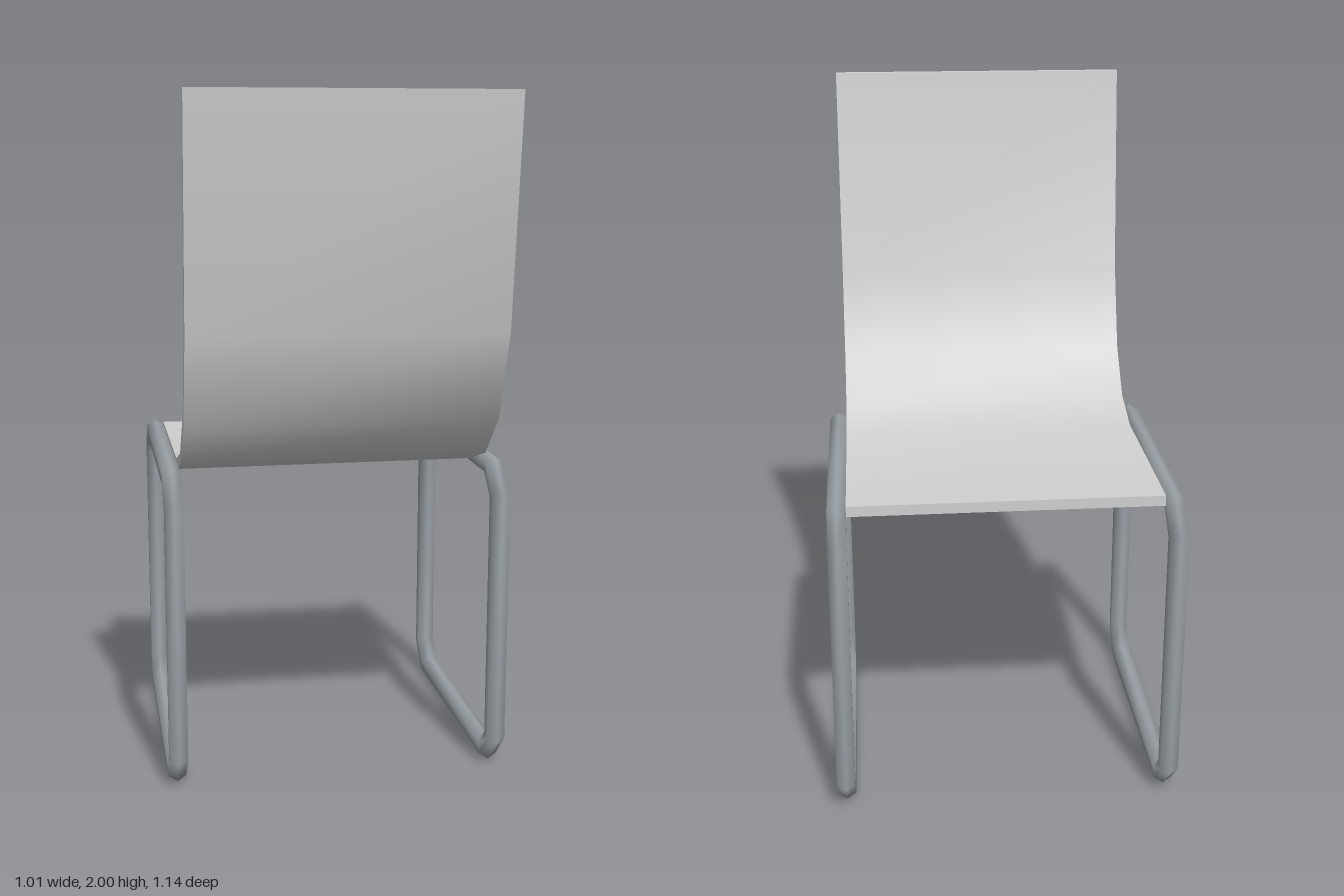
import * as THREE from 'three';
import { toCreasedNormals } from 'three/addons/utils/BufferGeometryUtils.js';

// Closed hexagonal tube following a rectangle with cut corners, in the yz plane
function loopFrame(halfZ, halfY, cut, radius) {
  const sides = 6, pos = [], index = [];
  for (let s = 0; s < sides; s++) {
    const a = (s / sides) * Math.PI * 2;
    const out = Math.cos(a) * radius, x = Math.sin(a) * radius;
    const Z = halfZ + out, Y = halfY + out;
    const c = cut + out * (2 - Math.SQRT2); // keeps the mitred bends even
    const ring = [
      [Z, Y - c], [Z - c, Y], [c - Z, Y], [-Z, Y - c],
      [-Z, c - Y], [c - Z, -Y], [Z - c, -Y], [Z, c - Y],
    ];
    ring.forEach(([z, y]) => pos.push(x, y, z));
  }
  for (let s = 0; s < sides; s++) {
    for (let i = 0; i < 8; i++) {
      const t = (s + 1) % sides, j = (i + 1) % 8;
      const a = s * 8 + i, b = s * 8 + j, c = t * 8 + j, d = t * 8 + i;
      index.push(a, d, c, a, c, b);
    }
  }
  const geo = new THREE.BufferGeometry();
  geo.setAttribute('position', new THREE.Float32BufferAttribute(pos, 3));
  geo.setIndex(index);
  geo.computeVertexNormals();
  return geo;
}

export function createModel() {
  const group = new THREE.Group();
  group.name = 'chair';
  const shellMat = new THREE.MeshStandardMaterial({ color: 0xd0d0d0 });
  shellMat.name = 'light grey shell';
  const metalMat = new THREE.MeshStandardMaterial({ color: 0x9aa1a6 });
  metalMat.name = 'grey metal';

  // Seat and backrest: one bent sheet, profile as [z, y]
  const profile = [
    [-0.47, 0.943], [0.11, 0.943], [0.262, 0.99], [0.384, 1.122], [0.474, 1.38], [0.543, 2.0],
    [0.57, 2.0], [0.497, 1.35], [0.405, 1.09], [0.276, 0.962], [0.118, 0.912], [-0.47, 0.912],
  ];
  const shape = new THREE.Shape(profile.map(([z, y]) => new THREE.Vector2(z, y)));
  const sheet = new THREE.ExtrudeGeometry(shape, { depth: 0.9, bevelEnabled: false });
  sheet.translate(0, 0, -0.45).rotateY(-Math.PI / 2);
  const seat = new THREE.Mesh(toCreasedNormals(sheet, 0.75), shellMat);
  seat.name = 'seatAndBack';
  group.add(seat);

  // Side frames
  const frameGeo = loopFrame(0.441, 0.444, 0.072, 0.031);
  for (const side of [-1, 1]) {
    const frame = new THREE.Mesh(frameGeo, metalMat);
    frame.name = side > 0 ? 'leftFrame' : 'rightFrame';
    frame.position.set(side * 0.477, 0.475, -0.096);
    group.add(frame);
  }
  return group;
}
